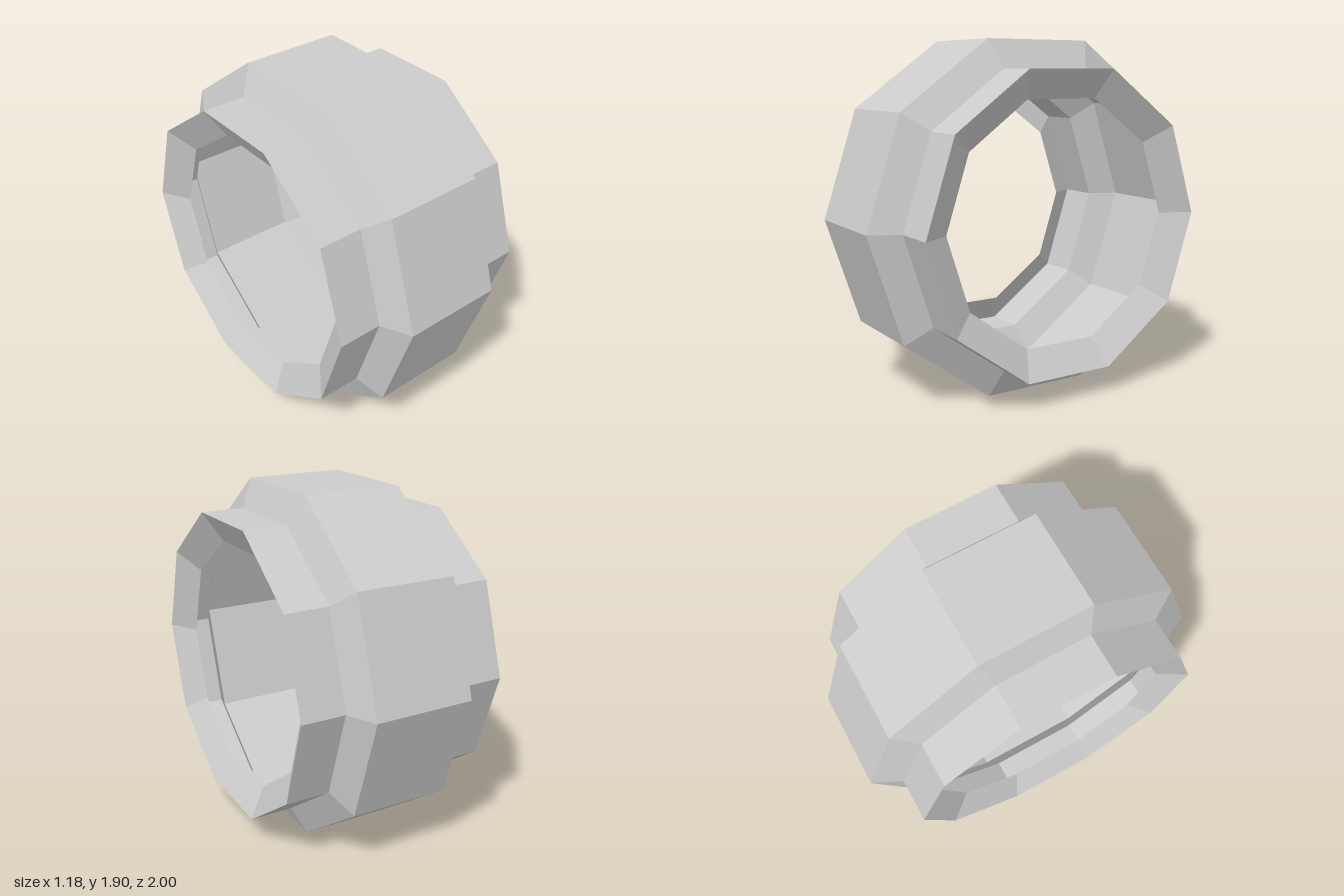
import * as THREE from 'three';

const SIDES = 10;
const CENTRE_Y = Math.sin(Math.PI * 0.4); // ring rests on a flat facet

const material = new THREE.MeshStandardMaterial({
  color: 0xcccccc,
  flatShading: true,
  side: THREE.DoubleSide,
});

// Ten-sided open shell around the x axis; profile is a list of [x, radius]
function shell(name, profile) {
  const points = profile.map(([x, r]) => new THREE.Vector2(r, x));
  const geometry = new THREE.LatheGeometry(points, SIDES);
  geometry.rotateZ(-Math.PI / 2);
  const mesh = new THREE.Mesh(geometry, material);
  mesh.name = name;
  return mesh;
}

export function createModel() {
  const ring = new THREE.Group();
  ring.name = 'ring';

  // Wide central band
  ring.add(shell('centralBand', [[-0.275, 1], [0.275, 1]]));

  // Matching shoulder, collar and inward lip on each end
  for (const [side, s] of [['left', 1], ['right', -1]]) {
    const part = (name, profile) => {
      const points = profile.map(([x, r]) => [s * x, r]);
      if (s < 0) points.reverse(); // keeps the faces outward
      ring.add(shell(side + name, points));
    };
    part('Shoulder', [[0.275, 1], [0.35, 0.84]]);
    part('Collar', [[0.35, 0.84], [0.59, 0.84]]);
    part('InnerLip', [[0.59, 0.84], [0.495, 0.68]]);
  }

  ring.position.y = CENTRE_Y;
  const model = new THREE.Group();
  model.name = 'facetedRing';
  model.add(ring);
  return model;
}
